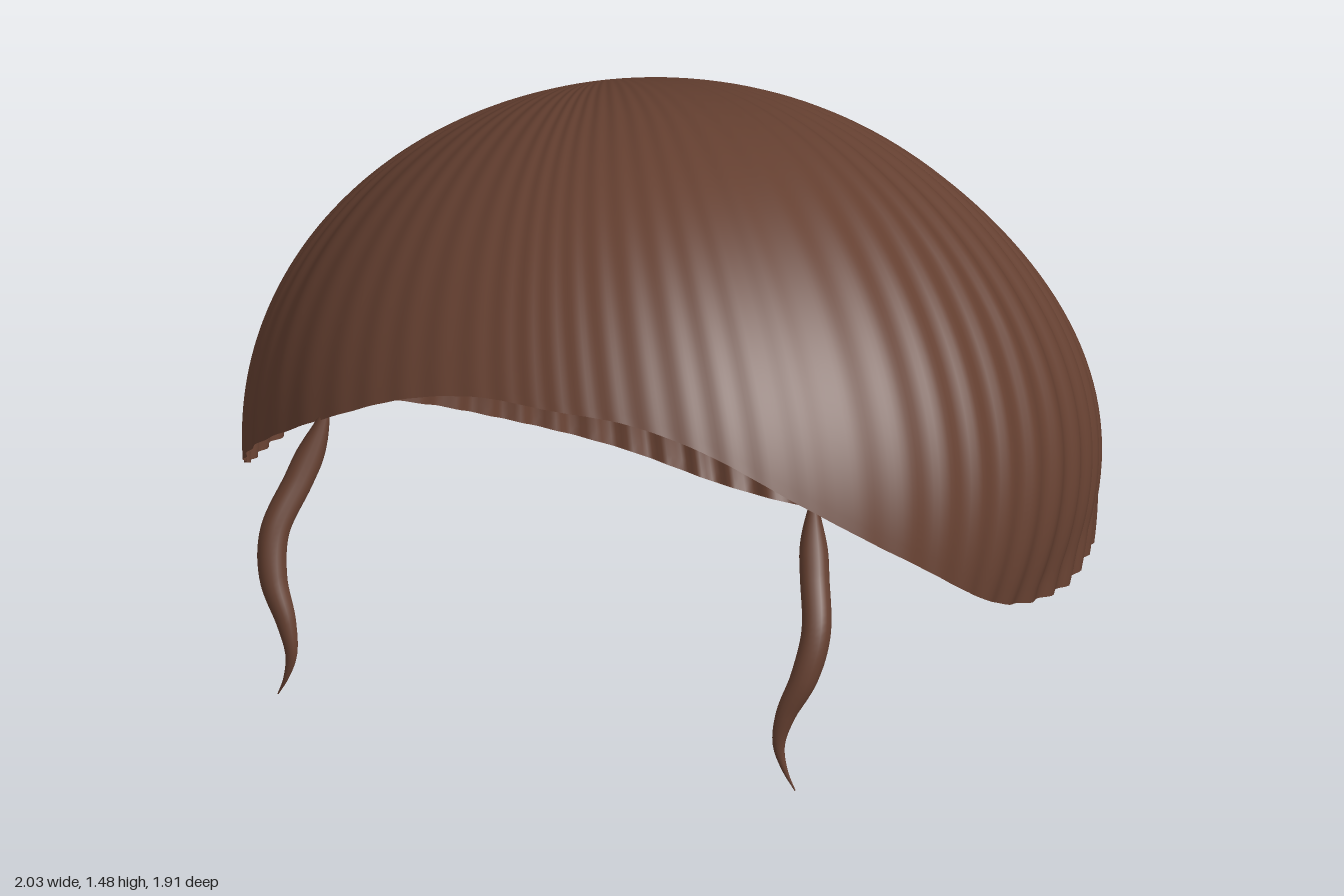
import * as THREE from 'three';

const smooth = THREE.MathUtils.smoothstep;

// Rim height by angle from the front (degrees), the same on both sides
const RIM = [[0, 1.1], [14, 1.09], [27, 1.03], [40, 0.91], [54, 0.75], [72, 0.53], [90, 0.43],
  [102, 0.41], [115, 0.34], [135, 0.2], [152, 0.1], [166, 0.03], [180, 0.005]];

function rimHeight(deg) {
  let i = 0;
  while (i < RIM.length - 2 && RIM[i + 1][0] < deg) i++;
  const [a, ya] = RIM[i], [b, yb] = RIM[i + 1];
  const slope = (k) => {
    if (k === 0 || k === RIM.length - 1) return 0;
    return (RIM[k + 1][1] - RIM[k - 1][1]) / (RIM[k + 1][0] - RIM[k - 1][0]);
  };
  const h = b - a, t = (deg - a) / h, t2 = t * t, t3 = t2 * t;
  return (2 * t3 - 3 * t2 + 1) * ya + (t3 - 2 * t2 + t) * h * slope(i)
    + (3 * t2 - 2 * t3) * yb + (t3 - t2) * h * slope(i + 1);
}

// Maps a unit direction to the head-shaped dome
function domePoint(d, swell) {
  const up = THREE.MathUtils.clamp(d.y, 0, 1);
  const rx = 0.995 + 0.2 * up * (1 - up);
  const rz = d.z > 0 ? 0.985 : 1.0 - 0.12 * smooth(up, 0, 0.7);
  return [d.x * rx * swell, 0.5 + d.y * 0.98 * swell, 0.05 + d.z * rz * swell];
}

// Hair shell: strands fan out from an off-centre crown to the rim
function hairShell() {
  const rows = 56, cols = 480, pos = [], index = [];
  const crown = new THREE.Vector3(-0.31, 0.83, -0.465).normalize();
  const d = new THREE.Vector3();
  for (let i = 0; i <= rows; i++) {
    const t = 0.018 + 0.982 * (i / rows);
    for (let j = 0; j < cols; j++) {
      const phi = (j / cols) * Math.PI * 2;
      const deg = THREE.MathUtils.radToDeg(Math.min(phi, Math.PI * 2 - phi));
      const dy = (rimHeight(deg) - 0.5) / 0.98, c = Math.sqrt(1 - dy * dy);
      const rim = new THREE.Vector3(Math.sin(phi) * c, dy, Math.cos(phi) * c);
      const angle = crown.angleTo(rim);
      d.copy(crown).multiplyScalar(Math.sin((1 - t) * angle))
        .addScaledVector(rim, Math.sin(t * angle)).divideScalar(Math.sin(angle)).normalize();
      // Combed ridges, deepest at the back and fading to the fringe
      const depth = (0.0015 + 0.0075 * smooth(deg, 35, 110)) * smooth(t, 0.02, 0.35);
      const ridge = Math.sin(64 * phi + 1.6 * Math.sin(5 * phi) + 0.8 * Math.sin(11 * phi));
      pos.push(...domePoint(d, 1 + depth * ridge));
      if (i < rows) {
        const k = (j + 1) % cols;
        const a = i * cols + j, b = a + cols, e = i * cols + k, f = e + cols;
        index.push(a, b, f, a, f, e);
      }
    }
  }
  const g = new THREE.BufferGeometry();
  g.setAttribute('position', new THREE.Float32BufferAttribute(pos, 3));
  g.setIndex(index);
  g.computeVertexNormals();
  return g;
}

// Wavy lock: a tube tapered to points at both ends
function lockGeometry(side) {
  const path = new THREE.CatmullRomCurve3([
    [0.61, 0.945, 0.69], [0.625, 0.86, 0.735], [0.65, 0.77, 0.79], [0.683, 0.66, 0.865],
    [0.67, 0.56, 0.907], [0.63, 0.46, 0.927], [0.615, 0.38, 0.932], [0.63, 0.31, 0.928],
    [0.652, 0.26, 0.922],
  ].map(([x, y, z]) => new THREE.Vector3(x * side, y, z)));
  const n = 48, sides = 14;
  const g = new THREE.TubeGeometry(path, n, 1, sides);
  const p = g.attributes.position, v = new THREE.Vector3();
  for (let i = 0; i <= n; i++) {
    const t = i / n, centre = path.getPointAt(t);
    const r = 0.001 + 0.034 * Math.pow(smooth(t, -0.02, 0.22), 0.8) * Math.pow(1 - smooth(t, 0.5, 1.02), 0.75);
    for (let j = 0; j <= sides; j++) {
      const k = i * (sides + 1) + j;
      v.fromBufferAttribute(p, k).sub(centre).multiplyScalar(r).add(centre);
      p.setXYZ(k, v.x, v.y, v.z);
    }
  }
  return g;
}

export function createModel() {
  const model = new THREE.Group();
  const brown = new THREE.MeshStandardMaterial({ color: 0x643f30, side: THREE.DoubleSide });
  brown.name = 'brown hair';
  const add = (name, geometry) => {
    const mesh = new THREE.Mesh(geometry, brown);
    mesh.name = name;
    model.add(mesh);
  };
  add('hairShell', hairShell());
  add('leftLock', lockGeometry(1));
  add('rightLock', lockGeometry(-1));
  return model;
}
